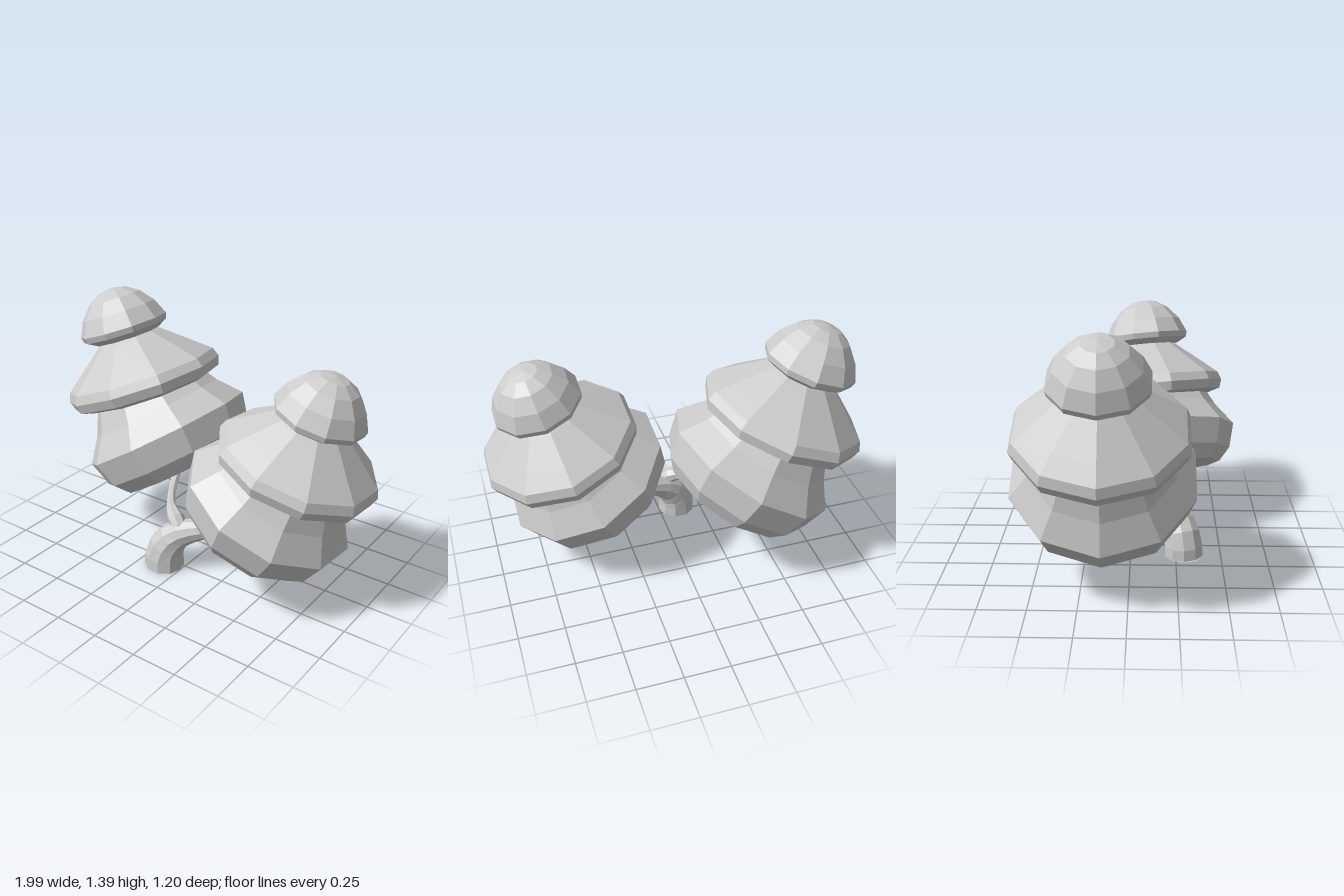
import * as THREE from 'three';

const mat = new THREE.MeshStandardMaterial({ color: 0xcccccc, flatShading: true, side: THREE.DoubleSide });

// Foliage profiles as [radius, height], measured from the widest rim
const PROFILES = {
  lowerFoliage: [[0, -0.23], [0.385, -0.23], [0.455, -0.15], [0.494, 0], [0.39, 0.134], [0.318, 0.268], [0.24, 0.36], [0, 0.38]],
  middleFoliage: [[0, -0.078], [0.36, -0.078], [0.44, -0.053], [0.457, 0], [0.437, 0.05], [0.35, 0.12], [0.2, 0.24], [0.12, 0.3], [0, 0.31]],
  topFoliage: [[0, -0.065], [0.19, -0.065], [0.248, -0.033], [0.257, 0], [0.215, 0.09], [0.15, 0.165], [0.08, 0.208], [0, 0.222]],
};

// One ten-sided foliage tier, leaning sideways and forwards
function tier(name, scale, phi, pos, leanX, leanZ) {
  const pts = PROFILES[name].map(([r, y]) => new THREE.Vector2(r * scale, y * scale));
  const mesh = new THREE.Mesh(new THREE.LatheGeometry(pts, 10, phi), mat);
  mesh.name = name;
  mesh.position.set(...pos);
  mesh.rotation.set(leanX, 0, THREE.MathUtils.degToRad(leanZ));
  return mesh;
}

function crown(name, scale, phi, leanX, tiers) {
  const g = new THREE.Group();
  g.name = name;
  tiers.forEach(([part, pos, leanZ]) => g.add(tier(part, scale, phi, pos, leanX, leanZ)));
  return g;
}

// Tapered limb: a unit tube whose rings are scaled; nodes are [x, y, z, radius]
function limb(name, nodes, segments, sides) {
  const curve = new THREE.CatmullRomCurve3(nodes.map(n => new THREE.Vector3(n[0], n[1], n[2])));
  const geo = new THREE.TubeGeometry(curve, segments, 1, sides);
  const p = geo.attributes.position, v = new THREE.Vector3();
  for (let i = 0; i <= segments; i++) {
    const c = curve.getPointAt(i / segments);
    const t = curve.getUtoTmapping(i / segments) * (nodes.length - 1);
    const k = Math.min(Math.floor(t), nodes.length - 2);
    const r = THREE.MathUtils.lerp(nodes[k][3], nodes[k + 1][3], t - k);
    for (let j = 0; j <= sides; j++) {
      const n = i * (sides + 1) + j;
      v.fromBufferAttribute(p, n).sub(c).multiplyScalar(r).add(c);
      p.setXYZ(n, v.x, Math.max(v.y, 0), v.z);
    }
  }
  geo.computeVertexNormals();
  const mesh = new THREE.Mesh(geo, mat);
  mesh.name = name;
  return mesh;
}

export function createModel() {
  const model = new THREE.Group();
  model.name = 'twinCrownTree';

  // Trunk sweeping up into the left crown
  model.add(limb('trunk', [
    [-0.11, 0, 0.295, 0.11], [-0.105, 0.1, 0.29, 0.105], [-0.045, 0.195, 0.265, 0.085],
    [0.07, 0.25, 0.225, 0.06], [0.2, 0.28, 0.185, 0.048], [0.34, 0.32, 0.155, 0.035], [0.45, 0.39, 0.14, 0.03],
  ], 12, 10));

  const base = new THREE.Mesh(new THREE.CircleGeometry(0.108, 10), mat);
  base.name = 'trunkBase';
  base.rotation.x = Math.PI / 2;
  base.position.set(-0.11, 0, 0.295);
  model.add(base);

  // Thin side branch with a knotted root, holding the right crown
  model.add(limb('sideBranch', [
    [0.0, 0.23, 0.27, 0.035], [-0.05, 0.28, 0.25, 0.05], [-0.1, 0.305, 0.22, 0.038],
    [-0.16, 0.315, 0.16, 0.024], [-0.23, 0.345, 0.05, 0.022], [-0.28, 0.42, -0.08, 0.022],
  ], 12, 8));

  // Taller crown on the right
  model.add(crown('rightCrown', 1, Math.PI / 2, 0, [
    ['lowerFoliage', [-0.412, 0.591, -0.13], 32.4],
    ['middleFoliage', [-0.575, 0.866, -0.133], 22],
    ['topFoliage', [-0.712, 1.164, -0.132], 21],
  ]));

  // Smaller crown on the left
  model.add(crown('leftCrown', 0.945, 0, -0.1, [
    ['lowerFoliage', [0.475, 0.534, 0.135], -27],
    ['middleFoliage', [0.604, 0.775, 0.1], -17.5],
    ['topFoliage', [0.706, 1.064, 0.078], -16],
  ]));

  return model;
}
